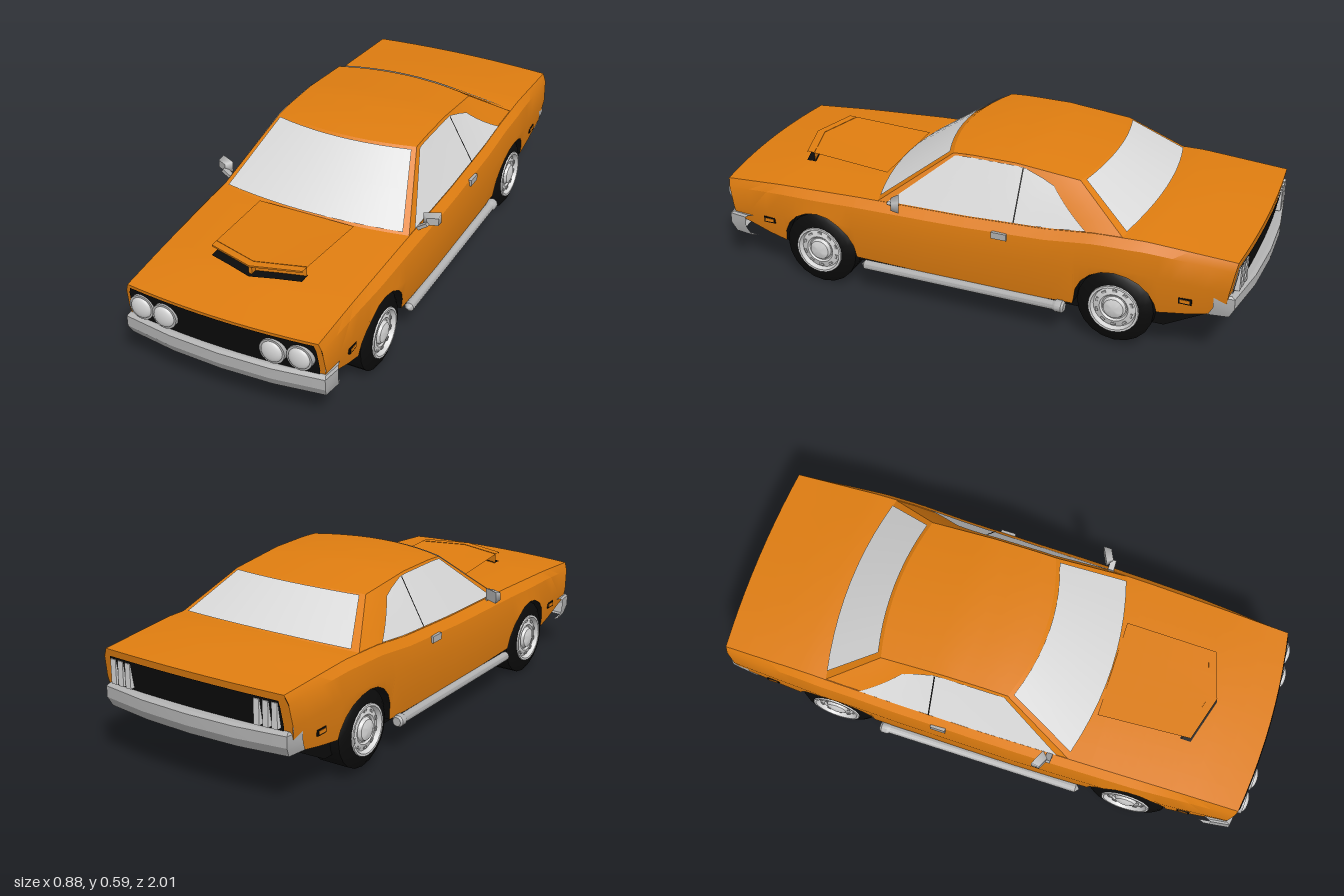
import * as THREE from 'three';
import { toCreasedNormals } from 'three/addons/utils/BufferGeometryUtils.js';

const mat = (name, color, side = THREE.DoubleSide) => {
  const m = new THREE.MeshStandardMaterial({ color, side });
  m.name = name;
  return m;
};

// Piecewise linear lookup, keys in descending order
function look(table, z) {
  if (z >= table[0][0]) return table[0][1];
  for (let i = 1; i < table.length; i++) {
    const [z0, a] = table[i - 1], [z1, b] = table[i];
    if (z >= z1) return a + (b - a) * (z0 - z) / (z0 - z1);
  }
  return table[table.length - 1][1];
}
const lerp = (a, b, t) => a + (b - a) * t;
const lerp3 = (a, b, t) => a.map((v, i) => lerp(v, b[i], t));

// Grid surface; its normal is du x dv unless flipped
function surface(nu, nv, fn, flip = false) {
  const pos = [], idx = [];
  for (let i = 0; i <= nu; i++) for (let j = 0; j <= nv; j++) pos.push(...fn(i / nu, j / nv, i, j));
  for (let i = 0; i < nu; i++) for (let j = 0; j < nv; j++) {
    const a = i * (nv + 1) + j, b = a + nv + 1;
    if (flip) idx.push(a, b + 1, b, a, a + 1, b + 1);
    else idx.push(a, b, b + 1, a, b + 1, a + 1);
  }
  const g = new THREE.BufferGeometry();
  g.setAttribute('position', new THREE.Float32BufferAttribute(pos, 3));
  g.setIndex(idx);
  return toCreasedNormals(g, 0.45);
}

// Body rules along z
const FRONT = 0.97, REAR = -0.965;
const beltT = [[0.97, 0.345], [0.75, 0.362], [0.4, 0.38], [0, 0.39], [-0.3, 0.405], [-0.48, 0.426], [-0.65, 0.43], [-0.965, 0.412]];
const topT = [[0.97, 0.355], [0.4, 0.37], [0, 0.376], [-0.5, 0.378], [-0.965, 0.367]];
const maxT = [[0.97, 0.37], [0.6, 0.402], [0.2, 0.412], [-0.6, 0.41], [-0.965, 0.386]];
const sillT = [[0.97, 0.2], [0.74, 0.14], [-0.38, 0.135], [-0.7, 0.17], [-0.965, 0.21]];
const sideT = [[0.27, -0.025], [0.11, 0]];
const wheels = [
  { name: 'front', z: 0.58, y: 0.14, r: 0.14, arch: 0.15, inner: 0.28 },
  { name: 'rear', z: -0.555, y: 0.157, r: 0.137, arch: 0.147, inner: 0.25 },
];
const belt = z => look(beltT, z);
const sideX = (y, z) => {
  const d = belt(z) - y, t = look(topT, z), m = look(maxT, z);
  if (d < 0.03) return t + (m - t) * 0.7 * d / 0.03;
  if (d < 0.11) return lerp(t + (m - t) * 0.7, m, (d - 0.03) / 0.08);
  return m + look(sideT, d);
};
const bottom = z => {
  let y = look(sillT, z);
  for (const w of wheels) {
    const d = Math.abs(z - w.z);
    if (d <= w.arch + 1e-6) y = Math.max(y, w.y + Math.sqrt(Math.max(0, w.arch ** 2 - d * d)));
  }
  return y;
};
const ramp = z => Math.sign(z) * Math.max(0, (Math.abs(z) - 0.8) / 0.17);
const lean = (y, z) => z - ramp(z) * 0.18 * Math.max(0, belt(z) - y);
const bow = (u, z) => ramp(z) * (z > 0 ? 0.025 : 0.017) * (1 - u * u);
const deckY = (u, z) => belt(z) + 0.014 * (1 - u * u) * Math.min(1, (1.02 - Math.abs(z)) * 4);
const stations = [FRONT, 0.88, 0.8, 0.3, 0.15, 0, -0.15, -0.3, -0.75, -0.8, -0.88, REAR];
for (const w of wheels) {
  for (let k = 0; k <= 10; k++) stations.push(w.z + w.arch * Math.cos(Math.PI * k / 10));
  stations.push(w.z + w.arch + 0.004, w.z - w.arch - 0.004);
}
stations.sort((a, b) => b - a);
const NS = stations.length - 1;

const sidePanel = s => surface(NS, 3, (u, v, i, j) => {
  const z = stations[i], D = belt(z) - bottom(z);
  const y = belt(z) - [D, Math.min(0.11, D - 0.015), 0.03, 0][j];
  return [s * sideX(y, z), y, lean(y, z)];
}, s < 0);
// End panel, e = 1 front, -1 rear; u in -1..1, v in 0..1
const cap = (e, u, v, out = 0) => {
  const z = e > 0 ? FRONT : REAR, y = lerp(bottom(z), belt(z), v);
  return [u * sideX(y, z), lerp(bottom(z), deckY(u, z), v), lean(y, z) + bow(u, z) + e * out];
};
const capPatch = (e, w, v0, v1, out) =>
  surface(10, 6, (u, v) => cap(e, (2 * u - 1) * w, lerp(v0, v1, v), out), e < 0);

// Cabin rules
const roofT = [[0.14, 0.583], [0.02, 0.591], [-0.15, 0.591], [-0.42, 0.566]];
const roofPt = (u, z) => [0.275 * u, look(roofT, z) - 0.011 * u * u, z];
const roofF = u => roofPt(u, 0.085 + 0.05 * (1 - u * u));
const roofR = u => roofPt(u, -0.385 - 0.035 * (1 - u * u));
const basePt = (u, z, zc) => [look(topT, zc) * u, deckY(u, z) - 0.003, z];
const screen = (e, u, v) => e > 0
  ? lerp3(basePt(u, 0.345 + 0.055 * (1 - u * u), 0.345), roofF(u), v)
  : lerp3(basePt(u, -0.575 - 0.045 * (1 - u * u), -0.575), roofR(u), v);
const flank = (s, u, v) => {
  const z = 0.345 - 0.92 * u;
  return lerp3(basePt(s, z, z), roofPt(s, 0.085 - 0.47 * u), v);
};
const push = (p, x, y, z) => [p[0] + x, p[1] + y, p[2] + z];

export function createModel() {
  const car = new THREE.Group();
  car.name = 'coupe';
  const orange = mat('orange paint', 0xdf7d10), black = mat('black trim', 0x0b0b0b);
  const glass = mat('pale glass', 0xdadada), chrome = mat('chrome', 0xb2b2b2), lens = mat('lens and rims', 0xd4d4d4);
  const add = (name, geo, m, x = 0, y = 0, z = 0) => {
    const mesh = new THREE.Mesh(geo, m);
    mesh.name = name;
    mesh.position.set(x, y, z);
    car.add(mesh);
    return mesh;
  };
  const box = (...a) => new THREE.BoxGeometry(...a);

  // Body shell
  add('hood and deck', surface(10, NS, (u, v, i, j) => {
    const x = 2 * u - 1, z = stations[j];
    return [x * look(topT, z), deckY(x, z), z + bow(x, z)];
  }), orange);
  add('front panel', capPatch(1, 1, 0, 1, 0), orange);
  add('rear panel', capPatch(-1, 1, 0, 1, 0), orange);
  add('grille', capPatch(1, 0.955, 0.08, 0.95, 0.004), black);
  add('tail panel', capPatch(-1, 0.92, 0.36, 0.89, 0.004), black);

  // Floor with wheel arches, and chassis
  add('floor', surface(2, NS, (u, v, i, j) => {
    const z = stations[j], y = bottom(z);
    return [(2 * u - 1) * sideX(y, z), y, lean(y, z)];
  }, true), black);
  const keel = new THREE.Shape([[-0.92, 0.21], [-0.72, 0.1], [0.7, 0.1], [0.91, 0.19], [0.91, 0.29], [-0.92, 0.29]]
    .map(([z, y]) => new THREE.Vector2(z, y)));
  add('chassis', new THREE.ExtrudeGeometry(keel, { depth: 0.68, bevelEnabled: false })
    .rotateY(-Math.PI / 2).translate(0.34, 0, 0), black);

  // Cabin
  add('roof', surface(10, 10, (u, v) => {
    const x = 2 * u - 1;
    return roofPt(x, lerp(roofF(x)[2], roofR(x)[2], v));
  }), orange);
  for (const [e, name, w] of [[1, 'windshield', 0.945], [-1, 'rear window', 0.93]]) {
    add(name + ' frame', surface(10, 2, (u, v) => screen(e, 2 * u - 1, v), e < 0), orange);
    add(name, surface(10, 2, (u, v) =>
      push(screen(e, (2 * u - 1) * w, lerp(0.04, 0.96, v)), 0, 0.004, e * 0.003), e < 0), glass);
  }

  // Hood scoop: overhanging lid, set-back mouth, black floor
  const lid = (u, v) => {
    const z = lerp(0.735 + 0.05 * (1 - Math.abs(u)), 0.395, v);
    return [u * lerp(0.172, 0.186, v), lerp(0.416, 0.397, v), z];
  };
  add('scoop lid', surface(4, 4, (u, v) => lid(2 * u - 1, v)), orange);
  add('scoop lip', surface(4, 1, (u, v) => push(lid(2 * u - 1, 0), 0, -0.006 * (1 - v), 0)), orange);
  add('scoop mouth', surface(4, 1, (u, v) => push(lid(2 * u - 1, 0), 0, -0.04 * (1 - v), -0.03)), orange);
  add('scoop floor', surface(4, 2, (u, v) => {
    const x = 2 * u - 1, p = lid(x, 0), z = p[2] + 0.004 - 0.04 * v;
    return [p[0], deckY(p[0] / 0.36, z) + 0.004, z];
  }), black);
  add('scoop divider', box(0.012, 0.034, 0.03), orange, 0, 0.397, 0.762);

  // Bumpers, swept round the corners
  const plan = [[-0.385, 0.895], [-0.375, 0.965], [-0.19, 0.992], [0, 1], [0.19, 0.992], [0.375, 0.965], [0.385, 0.895]];
  const section = [[0.04, 0], [0.018, 0], [0, 0.035], [0, 0.075], [0.012, 0.083], [0.06, 0.083]];
  for (const [e, name, y0] of [[1, 'front bumper', 0.132], [-1, 'rear bumper', 0.202]])
    add(name, surface(6, 5, (u, v, i, j) => {
      const [x, z] = plan[i], [k, y] = section[j];
      return [x * (1 - k), y0 + y, e * (z - k)];
    }, e < 0), chrome);

  for (const s of [1, -1]) {
    const side = s > 0 ? 'left ' : 'right ';
    add(side + 'body side', sidePanel(s), orange);
    add(side + 'cabin side', surface(12, 4, (u, v) => flank(s, u, v), s < 0), orange);

    // Side glass with a slim divider
    const edge = [[0.96, 0.58], [0.9, 0.68], [0.78, 0.775], [0.03, 0.86]];
    add(side + 'side window', surface(12, 10, (u, v) => {
      const h = lerp(0.03, 0.96, v);
      return push(flank(s, lerp(0.04, look(edge, h), u), h), s * 0.004, 0.002, 0);
    }, s < 0), glass);
    add(side + 'window divider', surface(1, 4, (u, v) => {
      const h = lerp(0.03, 0.95, v), f = (0.345 - 0.26 * h + 0.178 + 0.005 * u) / (0.92 - 0.45 * h);
      return push(flank(s, f, h), s * 0.006, 0.003, 0);
    }, s < 0), black);

    // Headlights and tail lights
    for (const x of [0.2, 0.293]) {
      const [px, , pz] = cap(1, s * x / 0.365, 0.55);
      add(side + 'headlight ring', new THREE.CylinderGeometry(0.046, 0.047, 0.03, 24).rotateX(Math.PI / 2), chrome, px, 0.281, pz + 0.004);
      add(side + 'headlight lens', new THREE.SphereGeometry(0.039, 20, 12).scale(1, 1, 0.4), lens, px, 0.281, pz + 0.018);
    }
    for (const x of [0.262, 0.295, 0.328]) {
      const [px, , pz] = cap(-1, s * x / 0.378, 0.62);
      add(side + 'tail light', box(0.022, 0.088, 0.022), lens, px, 0.338, pz - 0.004);
    }

    // Mirror, door handle, side markers, side pipe
    const mirror = add(side + 'mirror', new THREE.CylinderGeometry(0.042, 0.028, 0.028, 4, 1).rotateY(Math.PI / 4)
      .rotateX(-Math.PI / 2).scale(1.05, 0.72, 1), chrome, s * 0.416, 0.408, 0.252);
    mirror.rotation.y = s * 0.45;
    const arm = add(side + 'mirror arm', box(0.05, 0.012, 0.022), chrome, s * 0.388, 0.389, 0.275);
    arm.rotation.z = s * 0.6;
    add(side + 'door handle', box(0.016, 0.024, 0.056), chrome, s * 0.402, 0.357, -0.138);
    for (const [z, y] of [[0.79, 0.217], [-0.8, 0.24]]) {
      const x = s * sideX(y, z);
      add(side + 'marker frame', box(0.008, 0.022, 0.046), black, x, y, z);
      add(side + 'marker', box(0.012, 0.012, 0.034), orange, x, y, z);
    }
    const pipe = [[0, -0.38], [0.016, -0.38], [0.022, -0.372], [0.022, -0.35], [0.017, -0.34], [0.017, 0.39], [0, 0.405]];
    add(side + 'side pipe', toCreasedNormals(new THREE.LatheGeometry(pipe.map(p => new THREE.Vector2(...p)), 12)
      .rotateX(Math.PI / 2), 0.6), chrome, s * 0.398, 0.123, 0);

    // Wheels
    for (const w of wheels) {
      const wheel = new THREE.Group();
      wheel.name = side + w.name + ' wheel';
      wheel.position.set(0, w.y, w.z);
      const lathe = (name, pts, n, m) => {
        const g = new THREE.LatheGeometry(pts.map(p => new THREE.Vector2(...p)), n).rotateZ(-Math.PI / 2);
        const mesh = new THREE.Mesh(toCreasedNormals(g, 0.6), m);
        mesh.name = name;
        mesh.rotation.y = s > 0 ? 0 : Math.PI;
        wheel.add(mesh);
      };
      lathe('tire', [[0, w.inner], [w.r - 0.004, w.inner], [w.r, w.inner + 0.01], [w.r, 0.375], [w.r - 0.02, 0.388],
        [0.09, 0.394], [0.086, 0.37]], 20, black);
      lathe('rim', [[0.092, 0.39], [0.09, 0.399], [0.082, 0.399], [0.076, 0.382], [0.052, 0.39], [0.046, 0.384],
        [0.042, 0.384], [0.036, 0.396], [0.02, 0.402], [0, 0.403]], 24, lens);
      for (let k = 0; k < 10; k++) {
        const a = k * Math.PI / 5;
        const slot = new THREE.Mesh(box(0.006, 0.008, 0.016), chrome);
        slot.name = 'rim slot';
        slot.position.set(s * 0.386, 0.065 * Math.cos(a), 0.065 * Math.sin(a));
        slot.rotation.x = a;
        wheel.add(slot);
      }
      car.add(wheel);
    }
  }
  return car;
}
